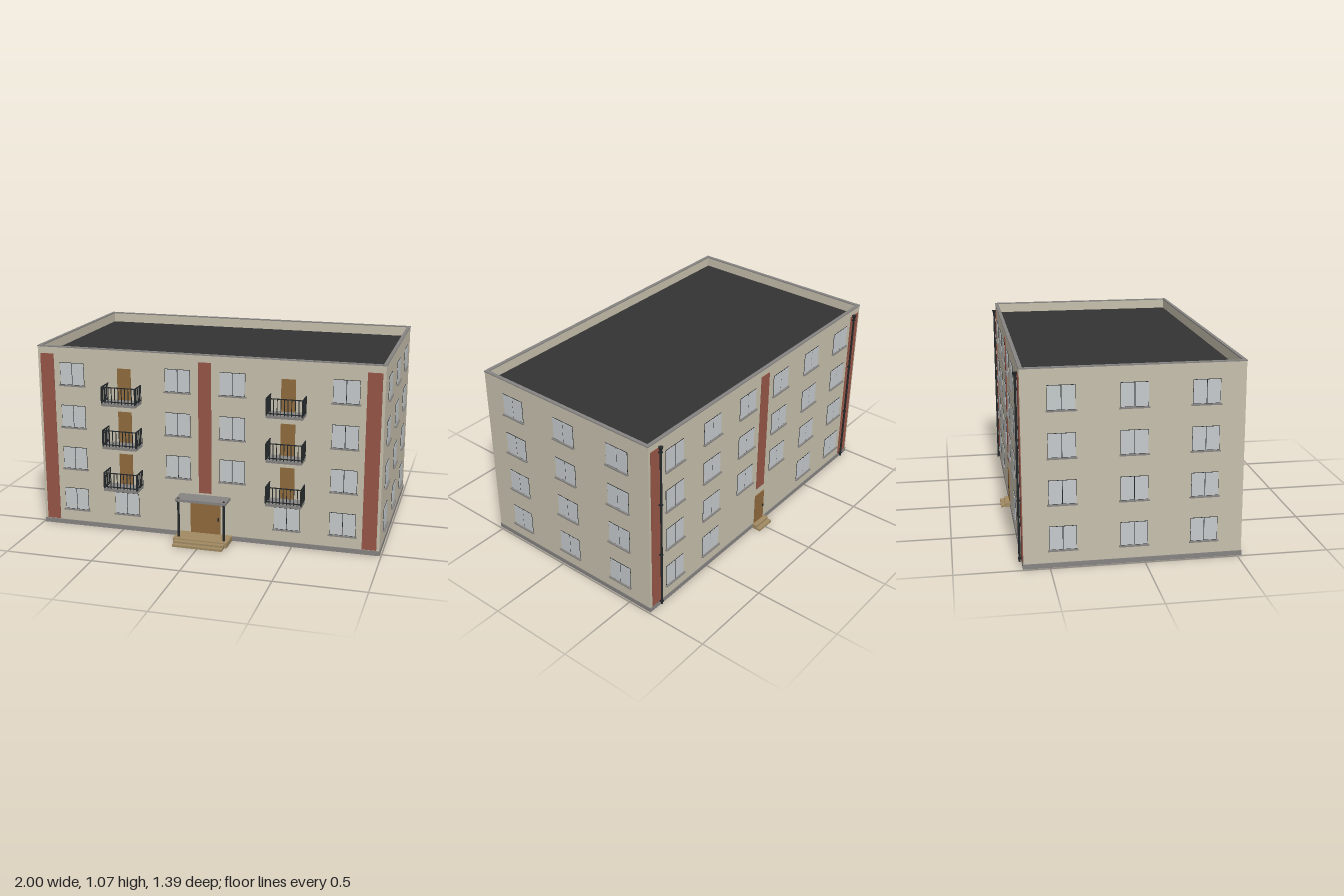
import * as THREE from 'three';

const mat = (name, color) => {
  const m = new THREE.MeshStandardMaterial({ color });
  m.name = name;
  return m;
};

export function createModel() {
  const wall = mat('beige plaster', 0xc6bfac);
  const brick = mat('red brown panel', 0x965646);
  const glass = mat('pale glass', 0xc5cacc);
  const wood = mat('brown door', 0x8f6a3c);
  const stone = mat('tan step', 0xa08a62);
  const grey = mat('grey concrete', 0x868482);
  const metal = mat('dark metal', 0x24282a);
  const roofing = mat('dark roofing', 0x333333);

  const model = new THREE.Group();
  model.name = 'apartmentBuilding';

  // Main dimensions
  const HX = 0.988, ZF = 0.522, ZB = -0.638, ZC = (ZF + ZB) / 2, HZ = (ZF - ZB) / 2;
  const TOP = 1.066, FLOOR = 0.249;

  // Box given by its limits on each axis
  function box(name, m, x0, x1, y0, y1, z0, z1, parent = model) {
    const mesh = new THREE.Mesh(new THREE.BoxGeometry(x1 - x0, y1 - y0, z1 - z0), m);
    mesh.position.set((x0 + x1) / 2, (y0 + y1) / 2, (z0 + z1) / 2);
    mesh.name = name;
    parent.add(mesh);
    return mesh;
  }
  function cylinder(name, m, rTop, rBottom, y0, y1, x, z, parent = model) {
    const mesh = new THREE.Mesh(new THREE.CylinderGeometry(rTop, rBottom, y1 - y0, 12), m);
    mesh.position.set(x, (y0 + y1) / 2, z);
    mesh.name = name;
    parent.add(mesh);
  }
  // Rectangular ring of wall
  function ring(name, m, hx, hz, t, y0, y1) {
    const rect = (P, a, b) => new P([[-a, -b], [a, -b], [a, b], [-a, b]].map(p => new THREE.Vector2(...p)));
    const shape = rect(THREE.Shape, hx, hz);
    shape.holes.push(rect(THREE.Path, hx - t, hz - t));
    const mesh = new THREE.Mesh(new THREE.ExtrudeGeometry(shape, { depth: y1 - y0, bevelEnabled: false }), m);
    mesh.rotation.x = -Math.PI / 2;
    mesh.position.set(0, y0, ZC);
    mesh.name = name;
    model.add(mesh);
  }

  // Shell, plinth and roof
  ring('walls', wall, HX, HZ, 0.016, 0.027, TOP - 0.006);
  ring('parapetCoping', grey, HX + 0.002, HZ + 0.002, 0.02, TOP - 0.006, TOP);
  box('plinth', grey, -HX - 0.003, HX + 0.003, 0, 0.027, ZB - 0.003, ZF + 0.003);
  box('roof', roofing, -HX + 0.015, HX - 0.015, 0.99, 1.005, ZB + 0.015, ZF - 0.015);

  // Window facing +z, turned to its wall
  function addWindow(x, y, z, turn) {
    const g = new THREE.Group();
    g.name = 'window';
    box('windowFrame', metal, -0.0725, 0.0725, -0.0645, 0.0645, -0.001, 0.002, g);
    for (const s of [-1, 1]) {
      const c = s * 0.0362;
      box('windowPane', glass, c - 0.0343, c + 0.0343, -0.062, 0.062, 0, 0.004, g);
    }
    box('windowSill', grey, -0.079, 0.079, -0.072, -0.0645, -0.001, 0.012, g);
    g.position.set(x, y, z);
    g.rotation.y = turn;
    model.add(g);
  }
  const columns = [0.157, 0.47, 0.783];
  for (let row = 0; row < 4; row++) {
    const y = 0.1635 + row * FLOOR;
    for (const s of [-1, 1]) {
      columns.forEach((x, i) => {
        const frontOpen = i === 2 || (row === 0 ? i === 1 : i === 0);
        if (frontOpen) addWindow(s * x, y, ZF, 0);
        if (row > 0 || i > 0) addWindow(s * x, y, ZB, Math.PI);
      });
      for (const k of [-1, 0, 1]) addWindow(s * HX, y, ZC + k * 0.373, s * Math.PI / 2);
    }
  }

  // Vertical coloured panels on front and back
  for (const z of [ZF, ZB]) {
    for (const x of [-0.932, 0, 0.932]) {
      const h = x === 0 ? 0.037 : 0.04;
      box('wallPanel', brick, x - h, x + h, x === 0 ? 0.27 : 0.03, 1.022, z - 0.004, z + 0.004);
    }
  }

  // Balcony with its door and railing
  function addBalcony(x, y) {
    const g = new THREE.Group();
    g.name = 'balcony';
    g.position.set(x, y, ZF);
    model.add(g);
    const W = 0.098, D = 0.102, H = 0.092, r = 0.0025;
    box('balconySlab', grey, -0.1, 0.1, -0.015, 0, 0, 0.105, g);
    box('balconyDoor', wood, -0.04, 0.04, 0, 0.18, -0.001, 0.004, g);
    const post = (px, pz, t) => box('baluster', metal, px - t, px + t, 0, H, pz - t, pz + t, g);
    for (let i = 0; i <= 10; i++) {
      post(-W + i * W / 5, D - r, i % 10 ? 0.002 : 0.0035);
    }
    for (const h of [0.01, H]) {
      box('frontRail', metal, -W - r, W + r, h - r, h + r, D - 2 * r, D, g);
      for (const s of [-1, 1]) box('sideRail', metal, s * W - r, s * W + r, h - r, h + r, 0, D, g);
    }
    for (const s of [-1, 1]) for (let i = 0; i < 5; i++) post(s * W, 0.003 + i * 0.02, 0.002);
  }
  for (const s of [-1, 1]) for (let i = 0; i < 3; i++) addBalcony(s * 0.47, 0.281 + i * FLOOR);

  // Front entrance: porch, steps, door and canopy
  box('porch', stone, -0.157, 0.157, 0, 0.03, ZF, 0.643);
  box('upperStep', stone, -0.144, 0.144, 0, 0.024, 0.643, 0.672);
  box('lowerStep', stone, -0.144, 0.144, 0, 0.013, 0.672, 0.698);
  box('entranceDoor', wood, -0.087, 0.087, 0.03, 0.228, ZF - 0.001, ZF + 0.005);
  box('doorHandle', metal, 0.074, 0.08, 0.11, 0.13, ZF + 0.005, ZF + 0.012);
  box('canopy', grey, -0.147, 0.147, 0.243, 0.258, ZF, 0.627);
  for (const s of [-1, 1]) {
    cylinder('canopyColumn', metal, 0.007, 0.007, 0.03, 0.26, s * 0.132, 0.609);
    box('columnCap', metal, s * 0.132 - 0.01, s * 0.132 + 0.01, 0.237, 0.243, 0.599, 0.619);
  }

  // Back door and its steps
  box('backDoor', wood, -0.043, 0.043, 0.027, 0.222, ZB - 0.005, ZB + 0.001);
  box('backDoorHandle', metal, -0.036, -0.031, 0.11, 0.127, ZB - 0.011, ZB - 0.005);
  box('backUpperStep', stone, -0.058, 0.058, 0, 0.027, -0.67, ZB);
  box('backLowerStep', stone, -0.058, 0.058, 0, 0.013, -0.695, -0.67);

  // Downpipes with hoppers and wall clips
  for (const s of [-1, 1]) {
    const x = s * 0.908, z = -0.652;
    cylinder('downpipe', metal, 0.006, 0.006, 0.012, 1.02, x, z);
    cylinder('pipeHopper', metal, 0.013, 0.008, 1.012, 1.03, x, z);
    for (const y of [0.03, 0.35, 0.675, 0.998]) {
      box('pipeClip', metal, x - 0.008, x + 0.008, y - 0.004, y + 0.004, z - 0.007, ZB);
    }
  }
  return model;
}
